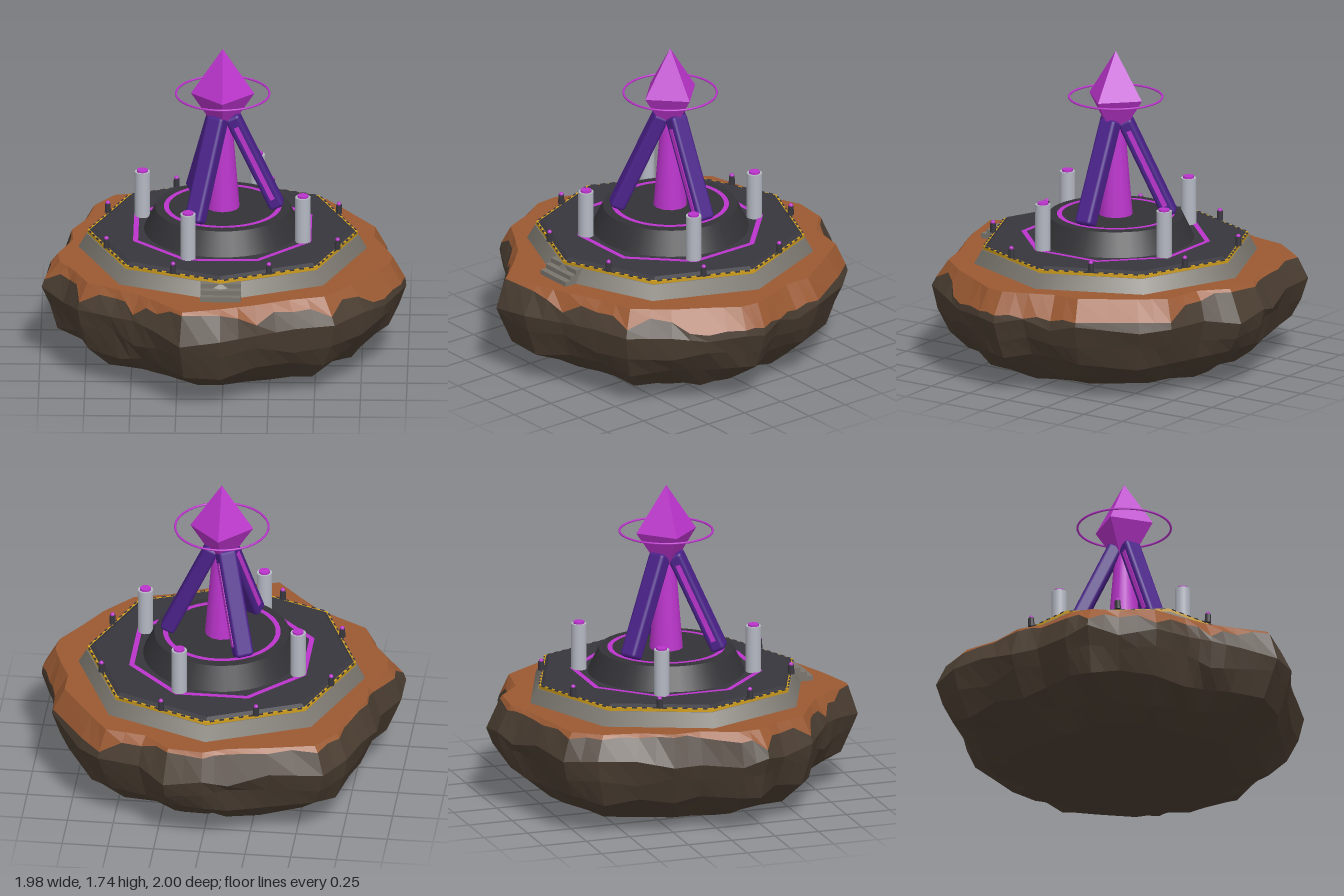
import * as THREE from 'three';
import { RoundedBoxGeometry } from 'three/addons/geometries/RoundedBoxGeometry.js';

const material = (name, color, flatShading = false) => {
  const m = new THREE.MeshStandardMaterial({ color, flatShading });
  m.name = name;
  return m;
};

// Rock outline seen from above, as x, z pairs running from +x towards +z
const OUTLINE = [
  [.93, -.05], [.99, .10], [.97, .21], [.88, .40], [.77, .57], [.61, .76], [.40, .82], [.19, .88],
  [-.01, .98], [-.23, 1], [-.37, .85], [-.49, .73], [-.61, .65], [-.79, .54], [-.87, .35], [-.99, .22],
  [-.98, .08], [-.89, -.13], [-.89, -.29], [-.83, -.49], [-.77, -.69], [-.66, -.85], [-.37, -.90],
  [-.15, -.96], [-.01, -1], [.20, -.99], [.35, -.85], [.58, -.79], [.70, -.66], [.88, -.36], [.89, -.20],
];
// Rock side profile: height, share of the outline
const PROFILE = [[.58, .935], [.52, .99], [.42, 1], [.32, .985], [.2, .925], [.1, .80], [.025, .635], [0, .49]];

function seeded(seed) {
  return () => (seed = (seed * 16807) % 2147483647) / 2147483647;
}

// Faceted surface through rings listed from top to bottom
function loft(rings) {
  const pos = [];
  const tri = (a, b, c) => {
    if (a.distanceTo(b) > 1e-5 && b.distanceTo(c) > 1e-5 && a.distanceTo(c) > 1e-5) {
      for (const p of [a, b, c]) pos.push(p.x, p.y, p.z);
    }
  };
  for (let r = 0; r < rings.length - 1; r++) {
    const up = rings[r], low = rings[r + 1], n = up.length;
    for (let i = 0; i < n; i++) {
      const j = (i + 1) % n;
      tri(up[i], up[j], low[i]);
      tri(up[j], low[j], low[i]);
    }
  }
  const g = new THREE.BufferGeometry();
  g.setAttribute('position', new THREE.Float32BufferAttribute(pos, 3));
  g.computeVertexNormals();
  return g;
}

export function createModel() {
  const model = new THREE.Group();
  model.name = 'floatingRockOutpost';
  const mat = {
    rock: material('dark rock', 0x4b3e32, true),
    soil: material('rust soil', 0x9a5932, true),
    stone: material('platform grey', 0x7a766e),
    dark: material('dark metal', 0x37363d, true),
    drum: material('dark drum', 0x333337),
    gold: material('gold trim', 0xd2a01e),
    purple: material('deep purple', 0x4a2189),
    magenta: material('magenta crystal', 0xbb34cc),
    steel: material('pale steel', 0xb4b8c2),
  };
  const add = (parent, name, geometry, m, x = 0, y = 0, z = 0) => {
    const mesh = new THREE.Mesh(geometry, m);
    mesh.name = name;
    mesh.position.set(x, y, z);
    parent.add(mesh);
    return mesh;
  };

  // Rock and soil cap share one faceted surface, split along a dripping edge
  const rand = seeded(41);
  const columns = OUTLINE.map(([x, z]) => ({
    x, z,
    knots: PROFILE.map(([y, s], k) => [
      y + (k > 1 && k < 6 ? (rand() - .5) * .06 : 0),
      s - (k === 2 ? 0 : rand() * .035),
    ]),
  }));
  const at = (col, y) => {
    const k = col.knots;
    let i = 0;
    while (i < k.length - 2 && y < k[i + 1][0]) i++;
    const t = (k[i][0] - y) / (k[i][0] - k[i + 1][0]);
    const s = k[i][1] + (k[i + 1][1] - k[i][1]) * t;
    return new THREE.Vector3(col.x * s, y, col.z * s);
  };
  const next = (list, i) => list[(i + 1) % list.length];
  const knotRing = (k) => {
    const ring = columns.map((c) => at(c, c.knots[k][0]));
    return ring.flatMap((p, i) => [p, p.clone().lerp(next(ring, i), .5)]);
  };
  // Drip height and arch height: bare at the back left, low on +x, scalloped elsewhere
  const edge = columns.flatMap((c, i) => {
    const bare = (i > 16 && i < 26) || i === 8 || i === 9;
    const low = i < 4 || i > 26;
    const drip = bare ? .55 : low ? .45 : i % 2 ? .475 : .52;
    const arch = bare ? .558 : low ? .46 : .53;
    const y = arch + rand() * .01;
    return [at(c, drip + rand() * .015), at(c, y).lerp(at(next(columns, i), y), .5)];
  });
  const point = (y) => edge.map(() => new THREE.Vector3(0, y, 0));
  add(model, 'soilCap', loft([point(.58), knotRing(0), edge]), mat.soil);
  add(model, 'rockBody', loft([edge, ...[2, 3, 4, 5, 6, 7].map(knotRing), point(0)]), mat.rock);

  const base = new THREE.Group();
  base.name = 'outpost';
  base.position.set(-.01, 0, -.027);
  model.add(base);

  // Eight-sided platform
  const octagon = (name, top, bottom, y0, y1, m) =>
    add(base, name, new THREE.CylinderGeometry(top, bottom, y1 - y0, 8), m, 0, (y0 + y1) / 2, 0);
  octagon('plinth', .74, .795, .56, .657, mat.stone);
  octagon('goldTrim', .734, .734, .655, .677, mat.gold);
  octagon('deck', .70, .726, .675, .69, mat.dark);

  // Dark dashes on the trim, and a beacon in the middle of each side
  for (let s = 0; s < 8; s++) {
    const side = new THREE.Group();
    side.name = 'platformSide';
    side.rotation.y = Math.PI / 8 + s * Math.PI / 4;
    base.add(side);
    for (let d = 0; d < 10; d++) {
      add(side, 'trimDash', new THREE.BoxGeometry(.026, .006, .008), mat.dark, (d - 4.5) * .055, .676, .676);
    }
    add(side, 'beaconPost', new THREE.CylinderGeometry(.016, .018, .05, 8), mat.dark, 0, .703, .68);
    add(side, 'beaconLight', new THREE.SphereGeometry(.013, 8, 6), mat.magenta, 0, .731, .68);
  }

  // Front steps
  for (let i = 0; i < 3; i++) {
    const top = .607 + i * .026, front = .807 - i * .035;
    add(base, 'step', new THREE.BoxGeometry(.22, top - .57, front - .66), mat.stone,
      0, (top + .57) / 2, (front + .66) / 2);
  }

  // Round drum with glowing lines
  add(base, 'drum', new THREE.CylinderGeometry(.367, .43, .133, 40), mat.drum, 0, .7515, 0);
  const flatRing = (name, inner, outer, sides, y) => {
    const ring = add(base, name, new THREE.RingGeometry(inner, outer, sides, 1, Math.PI / 8), mat.magenta, 0, y, 0);
    ring.rotation.x = -Math.PI / 2;
  };
  flatRing('deckLine', .494, .524, 8, .693);
  flatRing('drumLine', .293, .32, 48, .821);

  // Four steel pylons with lit caps
  for (let i = 0; i < 4; i++) {
    const a = Math.PI / 8 + i * Math.PI / 2;
    const x = Math.cos(a) * .475, z = Math.sin(a) * .475;
    add(base, 'pylon', new THREE.CylinderGeometry(.042, .042, .26, 20), mat.steel, x, .818, z);
    add(base, 'pylonCap', new THREE.CylinderGeometry(.03, .03, .012, 16), mat.magenta, x, .953, z);
  }

  // Central spire, crystal and halo
  add(base, 'spire', new THREE.CylinderGeometry(.05, .092, .52, 12), mat.magenta, 0, 1.08, 0);
  add(base, 'crystal', new THREE.OctahedronGeometry(1), mat.magenta, 0, 1.48, 0).scale.set(.172, .26, .172);
  add(base, 'halo', new THREE.TorusGeometry(.254, .006, 8, 64), mat.magenta, 0, 1.48, 0).rotation.x = Math.PI / 2;

  // Three leaning struts, each with a light strip on one side
  for (let i = 0; i < 3; i++) {
    const arm = new THREE.Group();
    arm.name = 'strutArm';
    arm.rotation.y = -i * Math.PI * 2 / 3;
    base.add(arm);
    const strut = add(arm, 'strut', new RoundedBoxGeometry(.084, .59, .104, 2, .02), mat.purple, .173, 1.09, 0);
    strut.rotation.z = .44;
    add(strut, 'strutLight', new THREE.BoxGeometry(.026, .465, .006), mat.magenta, 0, 0, .053);
  }
  return model;
}
